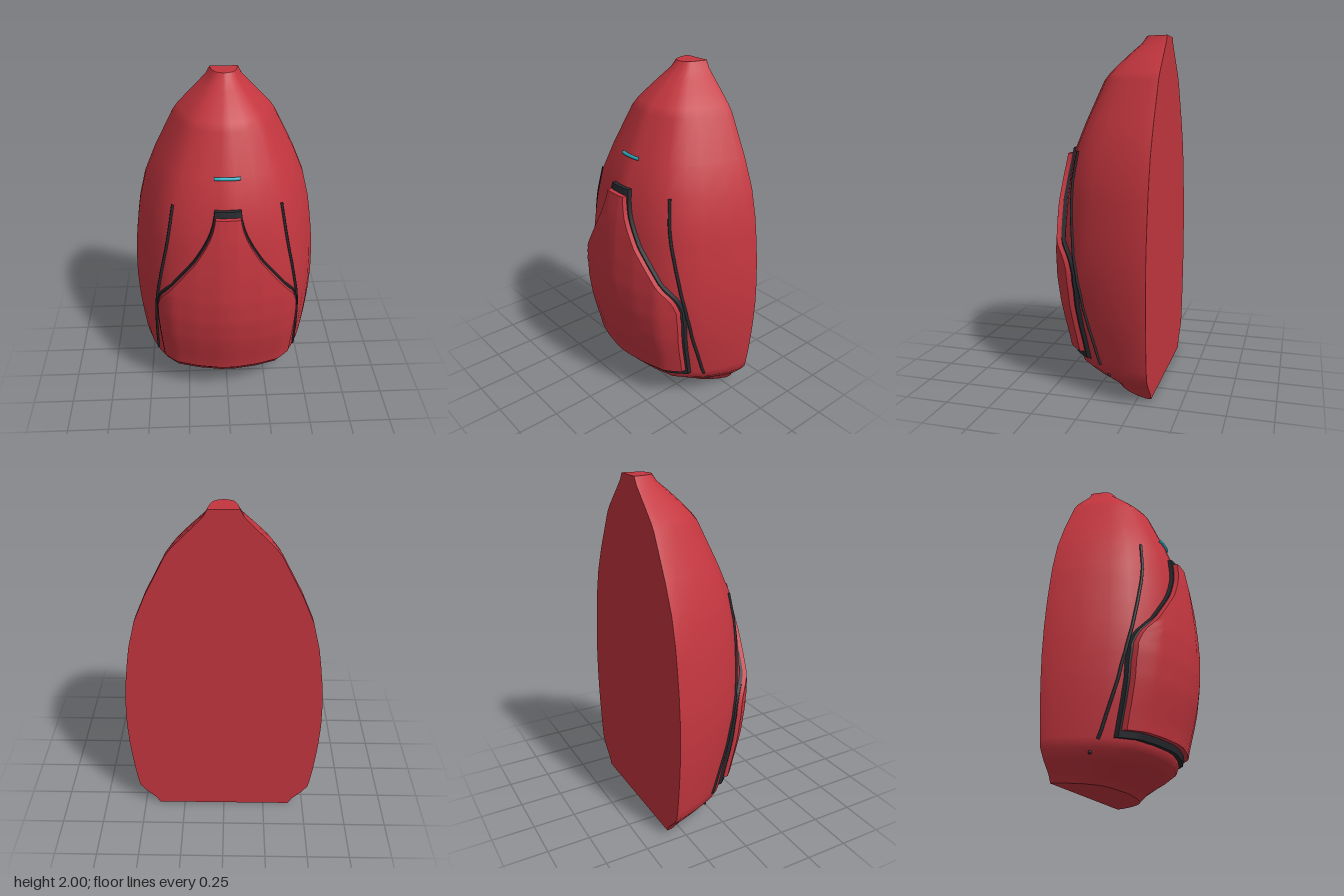
import * as THREE from 'three';
import { toCreasedNormals } from 'three/addons/utils/BufferGeometryUtils.js';

const BACK = -0.326;
const paint = (name, color) => {
  const m = new THREE.MeshStandardMaterial({ color });
  m.name = name;
  return m;
};

// Linear lookup in a list of [key, value...] rows
function lookup(table, key, col = 1) {
  let i = 1;
  while (i < table.length - 1 && key > table[i][0]) i++;
  const a = table[i - 1], b = table[i];
  const t = THREE.MathUtils.clamp((key - a[0]) / (b[0] - a[0]), 0, 1);
  return a[col] + (b[col] - a[col]) * t;
}

// Shell profile: height, half width, front z
const PROFILE = [
  [0, 0.41, -0.07], [0.04, 0.432, -0.03], [0.1, 0.49, 0.08], [0.15, 0.527, 0.155], [0.2, 0.537, 0.175],
  [0.3, 0.55, 0.197], [0.4, 0.56, 0.225], [0.5, 0.568, 0.25], [0.65, 0.574, 0.273], [0.8, 0.57, 0.28],
  [0.95, 0.558, 0.272], [1.1, 0.538, 0.258], [1.2, 0.522, 0.245], [1.36, 0.482, 0.215], [1.52, 0.415, 0.152],
  [1.75, 0.298, 0.05], [1.79, 0.268, 0.02], [1.85, 0.21, -0.04], [1.91, 0.15, -0.105], [1.96, 0.102, -0.165], [2, 0.08, -0.192],
];
// Shell cross-section: share of half width, share of depth
const SECTION = [
  [0, 1], [0.09, 0.998], [0.35, 0.95], [0.6, 0.865], [0.74, 0.72], [0.835, 0.57], [0.93, 0.34], [0.995, 0.12], [1, 0],
];

const shellZ = (x, y) => {
  const w = lookup(PROFILE, y, 1), f = lookup(PROFILE, y, 2);
  return BACK + (f - BACK) * lookup(SECTION, Math.abs(x) / w);
};

// Surface through rows of points
function grid(rows) {
  const n = rows[0].length, index = [];
  for (let j = 0; j < rows.length - 1; j++) {
    for (let i = 0; i < n - 1; i++) {
      const a = j * n + i, b = a + n;
      index.push(a, b, a + 1, b, b + 1, a + 1);
    }
  }
  const g = new THREE.BufferGeometry();
  g.setAttribute('position', new THREE.Float32BufferAttribute(rows.flat(2), 3));
  g.setIndex(index);
  g.computeVertexNormals();
  return g;
}

function addMesh(parent, name, geometry, material) {
  const m = new THREE.Mesh(geometry, material);
  m.name = name;
  parent.add(m);
  return m;
}

// Pocket outline: height, half width
const POCKET = [
  [0.2, 0.406], [0.45, 0.422], [0.6, 0.43], [0.7, 0.428], [0.77, 0.405], [0.85, 0.35], [0.92, 0.298],
  [1.05, 0.2], [1.15, 0.14], [1.22, 0.106], [1.28, 0.087], [1.32, 0.08], [1.365, 0.074],
];

// Raised layer that follows the shell between two heights
function addLayer(parent, name, material, y0, y1, inset, low, high) {
  const NY = 36, NX = 28;
  const row = (y, off) => {
    const w = lookup(POCKET, y) - inset;
    return Array.from({ length: NX + 1 }, (_, i) => {
      const x = w * (1 - (2 * i) / NX);
      return [x, y, shellZ(x, y) + off];
    });
  };
  const rows = off => Array.from({ length: NY + 1 }, (_, j) => row(y0 + ((y1 - y0) * j) / NY, off));
  const rim = r => [
    ...r.map(p => p[0]).reverse(),
    ...r[0].slice(1),
    ...r.map(p => p[NX]).slice(1),
    ...[...r[NY]].reverse().slice(1),
  ];
  const top = rows(high);
  const group = new THREE.Group();
  group.name = name;
  addMesh(group, name + 'Face', grid(top), material);
  addMesh(group, name + 'Edge', toCreasedNormals(grid([rim(rows(low)), rim(top)]), 0.7), material);
  parent.add(group);
}

// Thin cord lying on the shell
function cord(points, radius, lift) {
  const curve = new THREE.CatmullRomCurve3(points.map(([x, y]) => new THREE.Vector3(x, y, 0)));
  const path = curve.getPoints(32).map(p => p.setZ(shellZ(p.x, p.y) + lift));
  return new THREE.TubeGeometry(new THREE.CatmullRomCurve3(path), 48, radius, 8);
}

export function createModel() {
  const red = paint('red shell', 0xc4363f);
  const dark = paint('dark trim', 0x26282d);
  const cyan = paint('cyan accent', 0x2fb4c8);
  const model = new THREE.Group();
  model.name = 'backpack';

  // Shell with flat back, top and base
  const half = SECTION.slice().reverse();
  const section = [...half, ...SECTION.slice(1).map(([u, v]) => [-u, v])];
  const rings = PROFILE.map(([y, w, f]) => section.map(([u, v]) => [u * w, y, BACK + (f - BACK) * v]));
  const shell = new THREE.Group();
  shell.name = 'shell';
  model.add(shell);
  addMesh(shell, 'shellFront', grid(rings), red);
  addMesh(shell, 'shellBack', grid(PROFILE.map(([y, w]) => [[-w, y, BACK], [w, y, BACK]])), red);
  const center = y => section.map(() => [0, y, BACK]);
  addMesh(shell, 'shellTop', grid([rings[rings.length - 1], center(2)]), red);
  addMesh(shell, 'shellBase', grid([center(0), rings[0]]), red);

  // Front pocket: dark gusset under a red panel
  addLayer(model, 'pocketGusset', dark, 0.2, 1.365, 0, -0.02, 0.024);
  addLayer(model, 'pocketPanel', red, 0.235, 1.33, 0.008, 0.02, 0.052);

  // Side seams, each ending in a small stud
  for (const s of [1, -1]) {
    const line = [[0.304, 1.362], [0.345, 1.13], [0.393, 0.9], [0.43, 0.68], [0.443, 0.45], [0.449, 0.19]];
    addMesh(model, s > 0 ? 'leftSeam' : 'rightSeam', cord(line.map(([x, y]) => [s * x, y]), 0.009, 0.002), dark);
    const stud = addMesh(model, s > 0 ? 'leftStud' : 'rightStud', new THREE.SphereGeometry(0.01, 10, 8), dark);
    stud.position.set(s * 0.44, 0.13, shellZ(0.44, 0.13) + 0.003);
  }

  // Cyan accent bar
  addMesh(model, 'accentBar', cord([[-0.072, 1.525], [0, 1.525], [0.072, 1.525]], 0.01, 0.006), cyan);
  return model;
}
